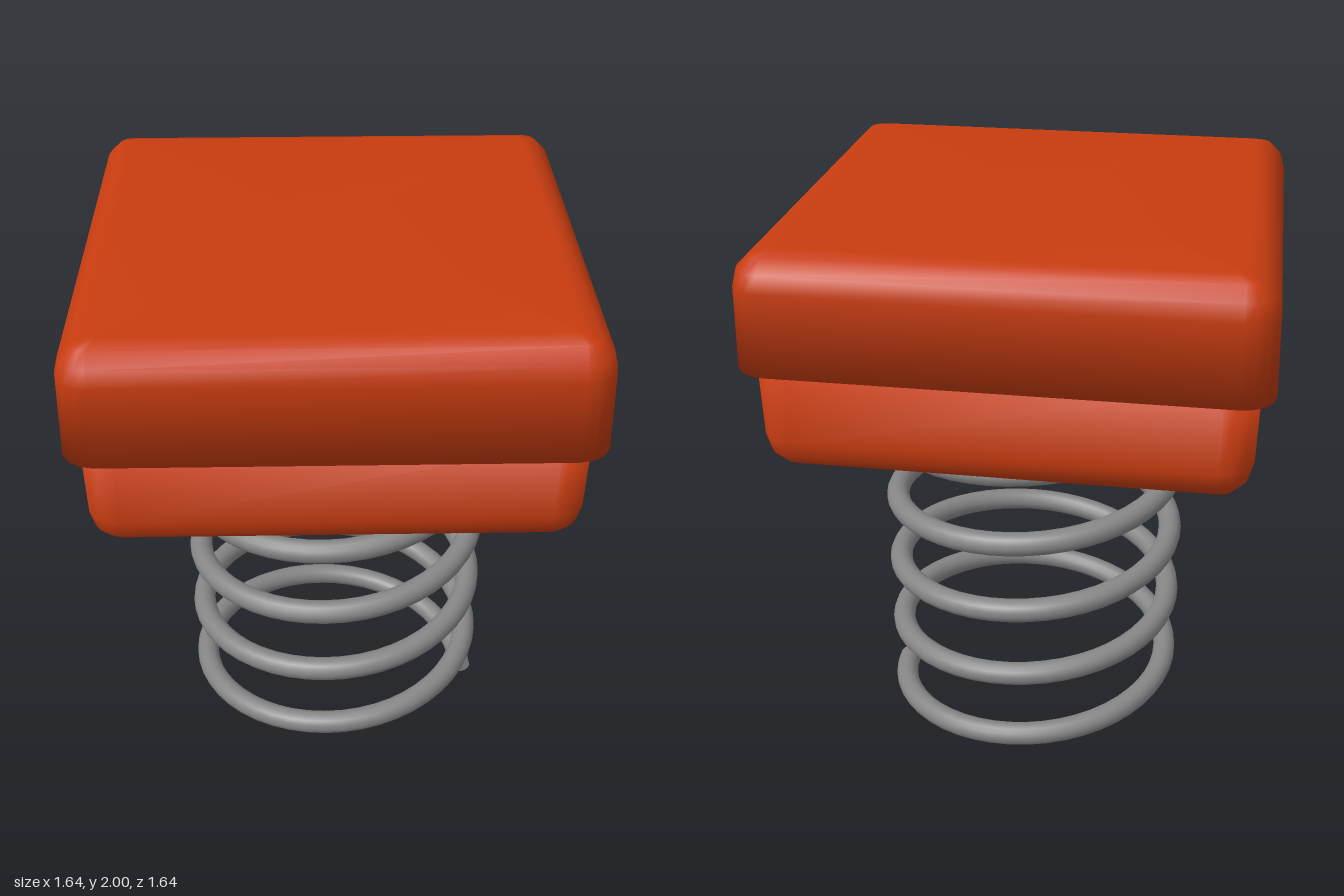
import * as THREE from 'three';

const CORNER_STEPS = 4;

// Rounded square outline at height y, running counter-clockwise seen from above
function squareRing(y, half, corner) {
  const ring = [];
  for (let q = 0; q < 4; q++) {
    for (let s = 0; s <= CORNER_STEPS; s++) {
      const a = (q + s / CORNER_STEPS) * Math.PI / 2;
      const mid = (q + 0.5) * Math.PI / 2;
      const c = half - corner;
      ring.push(
        Math.sign(Math.cos(mid)) * c + Math.cos(a) * corner,
        y,
        -(Math.sign(Math.sin(mid)) * c + Math.sin(a) * corner)
      );
    }
  }
  return ring;
}

// Smooth closed block lofted through [y, half width] sections, bottom to top
function roundedBlock(sections, corner) {
  const widest = Math.max(...sections.map((s) => s[1]));
  const n = 4 * (CORNER_STEPS + 1);
  const pos = [];
  const index = [];
  for (const [y, half] of sections) {
    pos.push(...squareRing(y, half, Math.max(0.02, corner - (widest - half))));
  }
  const last = (sections.length - 1) * n;
  const bottom = sections.length * n;
  const top = bottom + 1;
  pos.push(0, sections[0][0], 0, 0, sections[sections.length - 1][0], 0);
  for (let j = 0; j < n; j++) {
    const k = (j + 1) % n;
    for (let r = 0; r < last; r += n) {
      index.push(r + j, r + k, r + n + k, r + j, r + n + k, r + n + j);
    }
    index.push(bottom, k, j, top, last + j, last + k);
  }
  const geo = new THREE.BufferGeometry();
  geo.setAttribute('position', new THREE.Float32BufferAttribute(pos, 3));
  geo.setIndex(index);
  geo.computeVertexNormals();
  return geo;
}

// Helix starting at +x and turning towards -z as it rises
class Helix extends THREE.Curve {
  constructor(radius, pitch, turns, startY) {
    super();
    Object.assign(this, { radius, pitch, turns, startY });
  }
  getPoint(t, target = new THREE.Vector3()) {
    const a = t * this.turns * Math.PI * 2;
    return target.set(
      0.0125 + this.radius * Math.cos(a),
      this.startY + this.pitch * this.turns * t,
      -this.radius * Math.sin(a)
    );
  }
}

export function createModel() {
  const model = new THREE.Group();
  const orange = new THREE.MeshStandardMaterial({ color: 0xc83c10 });
  orange.name = 'orange';
  const steel = new THREE.MeshStandardMaterial({ color: 0x868686 });
  steel.name = 'steel grey';

  const add = (name, geo, mat) => {
    const mesh = new THREE.Mesh(geo, mat);
    mesh.name = name;
    model.add(mesh);
    return mesh;
  };

  // Lower block, rounded underneath
  add('lowerBlock', roundedBlock([
    [1.27, 0.665], [1.285, 0.715], [1.325, 0.755], [1.38, 0.77], [1.66, 0.777],
  ], 0.11), orange);

  // Overhanging cap, rounded on top with a sharp lower rim
  add('topCap', roundedBlock([
    [1.625, 0.82], [1.89, 0.813], [1.945, 0.798], [1.985, 0.757], [2, 0.705],
  ], 0.11), orange);

  // Coil spring
  const helix = new Helix(0.503, 0.268, 4.9, 0.043);
  const wire = 0.041;
  add('spring', new THREE.TubeGeometry(helix, 240, wire, 14, false), steel);

  // Flat ends of the wire
  for (const [t, dir] of [[0, -1], [1, 1]]) {
    const end = add('springEnd', new THREE.CircleGeometry(wire, 14), steel);
    end.position.copy(helix.getPointAt(t));
    const out = helix.getTangentAt(t).multiplyScalar(dir);
    end.quaternion.setFromUnitVectors(new THREE.Vector3(0, 0, 1), out);
  }

  return model;
}
